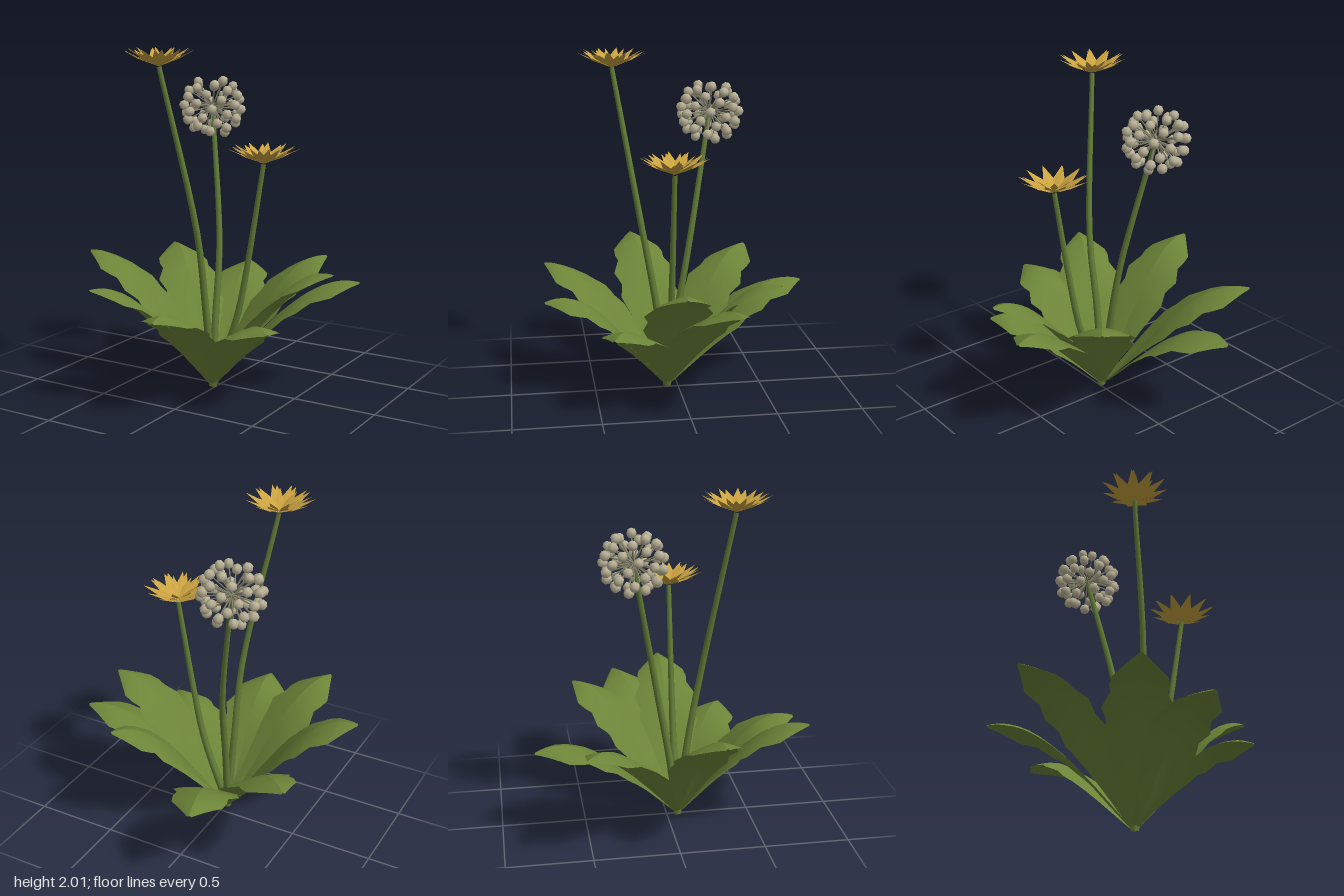
import * as THREE from 'three';
import { mergeGeometries } from 'three/addons/utils/BufferGeometryUtils.js';

const mat = (name, color, side = THREE.FrontSide) => {
  const m = new THREE.MeshStandardMaterial({ color, side });
  m.name = name;
  return m;
};
const V = (x, y, z) => new THREE.Vector3(x, y, z);
const BASE = V(-0.015, 0, 0.065);

// Half width of a lobed leaf along its length: [position, half width]
const OUTLINE = [[0, 0.014], [0.15, 0.068], [0.3, 0.125], [0.45, 0.185], [0.53, 0.165], [0.62, 0.195],
  [0.71, 0.15], [0.77, 0.157], [0.84, 0.147], [0.92, 0.08], [1, 0.012]];
const halfWidth = (s) => {
  const i = Math.max(1, OUTLINE.findIndex((p) => p[0] >= s - 1e-6));
  const [s0, w0] = OUTLINE[i - 1], [s1, w1] = OUTLINE[i];
  return w0 + (w1 - w0) * (s - s0) / (s1 - s0);
};

// Grid surface from a point function of (u, v)
function surface(us, cols, point) {
  const pos = [], idx = [];
  us.forEach((u, i) => {
    for (let j = 0; j <= cols; j++) {
      pos.push(...point(u, j / cols).toArray());
      if (i && j) {
        const b = i * (cols + 1) + j, a = b - cols - 1;
        idx.push(a - 1, a, b, a - 1, b, b - 1);
      }
    }
  });
  const g = new THREE.BufferGeometry();
  g.setAttribute('position', new THREE.Float32BufferAttribute(pos, 3));
  g.setIndex(idx);
  g.computeVertexNormals();
  return g;
}

// Leaf rising straight, then arching over: two smooth halves meet in a crease at the midrib
function leafGeometry(x, y, z, crest) {
  const tip = V(x, y, z);
  const rib = new THREE.CubicBezierCurve3(BASE, BASE.clone().lerp(tip, 0.33).setY(0.43 * y),
    BASE.clone().lerp(tip, 0.62).setY(crest * y), tip);
  const dir = V(x - BASE.x, 0, z - BASE.z).normalize();
  const across = V(-dir.z, 0, dir.x);
  const rows = [0, 0.08, 0.15, 0.22, 0.3, 0.38, 0.45, 0.49, 0.53, 0.57, 0.62, 0.66, 0.71, 0.77, 0.84, 0.88, 0.92, 0.96, 1];
  const half = (side) => surface(rows, 3, (s, v) => {
    const f = side > 0 ? v : 1 - v;                  // 0 at the rib, 1 at the edge
    const w = halfWidth(s) * f;
    const lift = (0.5 - 0.9 * s) * w - 0.15 * w * f; // channelled below, drooping above
    return rib.getPoint(s).addScaledVector(across, side * w).add(V(0, lift, 0));
  });
  return mergeGeometries([half(1), half(-1)]);
}

// Round stem narrowing upwards
function stemGeometry(points, r0, r1) {
  const curve = new THREE.CatmullRomCurve3(points, false, 'centripetal');
  const seg = 14, sides = 8;
  const g = new THREE.TubeGeometry(curve, seg, 1, sides);
  const p = g.attributes.position;
  for (let i = 0; i < p.count; i++) {
    const t = Math.floor(i / (sides + 1)) / seg;
    const c = curve.getPointAt(t), v = V(0, 0, 0).fromBufferAttribute(p, i);
    v.sub(c).multiplyScalar(r0 + (r1 - r0) * t).add(c);
    p.setXYZ(i, v.x, v.y, v.z);
  }
  return g;
}

// Flat pointed petal, lying along +x and rising
function petalGeometry(length, rise, width) {
  const pts = [[0, 0, 0], [0.55 * length, 0.5 * rise, width], [length, rise, 0], [0.55 * length, 0.5 * rise, -width]];
  const g = new THREE.BufferGeometry();
  g.setAttribute('position', new THREE.Float32BufferAttribute(pts.flat(), 3));
  g.setIndex([0, 1, 2, 0, 2, 3]);
  g.computeVertexNormals();
  return g;
}

// Starburst flower in layers: [petal count, radius, rise, half width]
function flowerGeometry(turn) {
  const parts = [];
  [[11, 0.203, 0.088, 0.032], [10, 0.186, 0.096, 0.028], [7, 0.13, 0.092, 0.022]].forEach(([n, r, h, w], k) => {
    for (let i = 0; i < n; i++) {
      const reach = 1 - 0.02 * ((i * 2 + k) % 3);
      parts.push(petalGeometry(r * reach, h, w)
        .rotateY(turn + k * 0.28 + (i / n) * Math.PI * 2).translate(0, k * 0.004, 0));
    }
  });
  return mergeGeometries(parts);
}

export function createModel() {
  const leafMat = mat('leaf green', 0x6c8438, THREE.DoubleSide);
  const stemMat = mat('stem green', 0x637c36);
  const petalMat = mat('petal gold', 0xcba340, THREE.DoubleSide);
  const seedMat = mat('seed cream', 0xbcb499);
  const spokeMat = mat('spoke grey', 0x8a8870);
  const group = new THREE.Group();
  const add = (name, geometry, material, parent = group) => {
    const m = new THREE.Mesh(geometry, material);
    m.name = name;
    parent.add(m);
    return m;
  };

  // Rosette of leaves: tip x, y, z and fullness of the arch
  [[-0.24, 0.57, -0.8, 1.22], [0.44, 0.74, -0.52, 1.06], [-0.67, 0.7, -0.53, 1.08],
    [-0.8, 0.77, 0.2, 1.06], [0.79, 0.68, -0.23, 1.1], [0.76, 0.78, 0.06, 1.06],
    [0.55, 0.5, 0.43, 1.22], [0.05, 0.58, 0.79, 1.2], [-0.38, 0.7, 0.77, 1.05],
  ].forEach((l, i) => add(`leaf${i + 1}`, leafGeometry(...l), leafMat));

  // Stems, the first two carrying flowers
  const root = BASE.clone().setY(0.005);
  const tall = V(-0.18, 1.905, 0.36), low = V(0.32, 1.365, 0.065), head = V(-0.185, 1.64, -0.215);
  add('tallStem', stemGeometry([root, V(-0.028, 0.5, 0.125), V(-0.035, 0.96, 0.205), tall], 0.024, 0.014), stemMat);
  add('lowStem', stemGeometry([root, V(0.15, 0.45, 0.065), V(0.215, 0.75, 0.065), low], 0.024, 0.014), stemMat);
  add('seedStem', stemGeometry([root, V(-0.03, 0.4, 0.01), V(-0.05, 0.85, -0.07), head], 0.024, 0.014), stemMat);
  add('tallFlower', flowerGeometry(0.1), petalMat).position.copy(tall);
  add('lowFlower', flowerGeometry(0.4), petalMat).position.copy(low);

  // Seed head: smooth beads on spokes around a small core
  const seedHead = new THREE.Group();
  seedHead.name = 'seedHead';
  seedHead.position.copy(head);
  group.add(seedHead);
  const seeds = [], spokes = [], count = 48;
  for (let i = 0; i < count; i++) {
    const y = 0.92 - 1.84 * (i + 0.5) / count, r = Math.sqrt(1 - y * y), a = i * 2.39996;
    const d = V(Math.cos(a) * r, y, Math.sin(a) * r);
    const q = new THREE.Quaternion().setFromUnitVectors(V(0, 1, 0), d);
    seeds.push(new THREE.SphereGeometry(0.031, 6, 4).applyQuaternion(q)
      .translate(d.x * 0.17, d.y * 0.17, d.z * 0.17));
    spokes.push(new THREE.CylinderGeometry(0.0045, 0.0045, 0.15, 4, 1, true).translate(0, 0.075, 0).applyQuaternion(q));
  }
  add('seeds', mergeGeometries(seeds), seedMat, seedHead);
  add('spokes', mergeGeometries(spokes), spokeMat, seedHead);
  add('core', new THREE.SphereGeometry(0.024, 8, 6), spokeMat, seedHead);
  return group;
}
